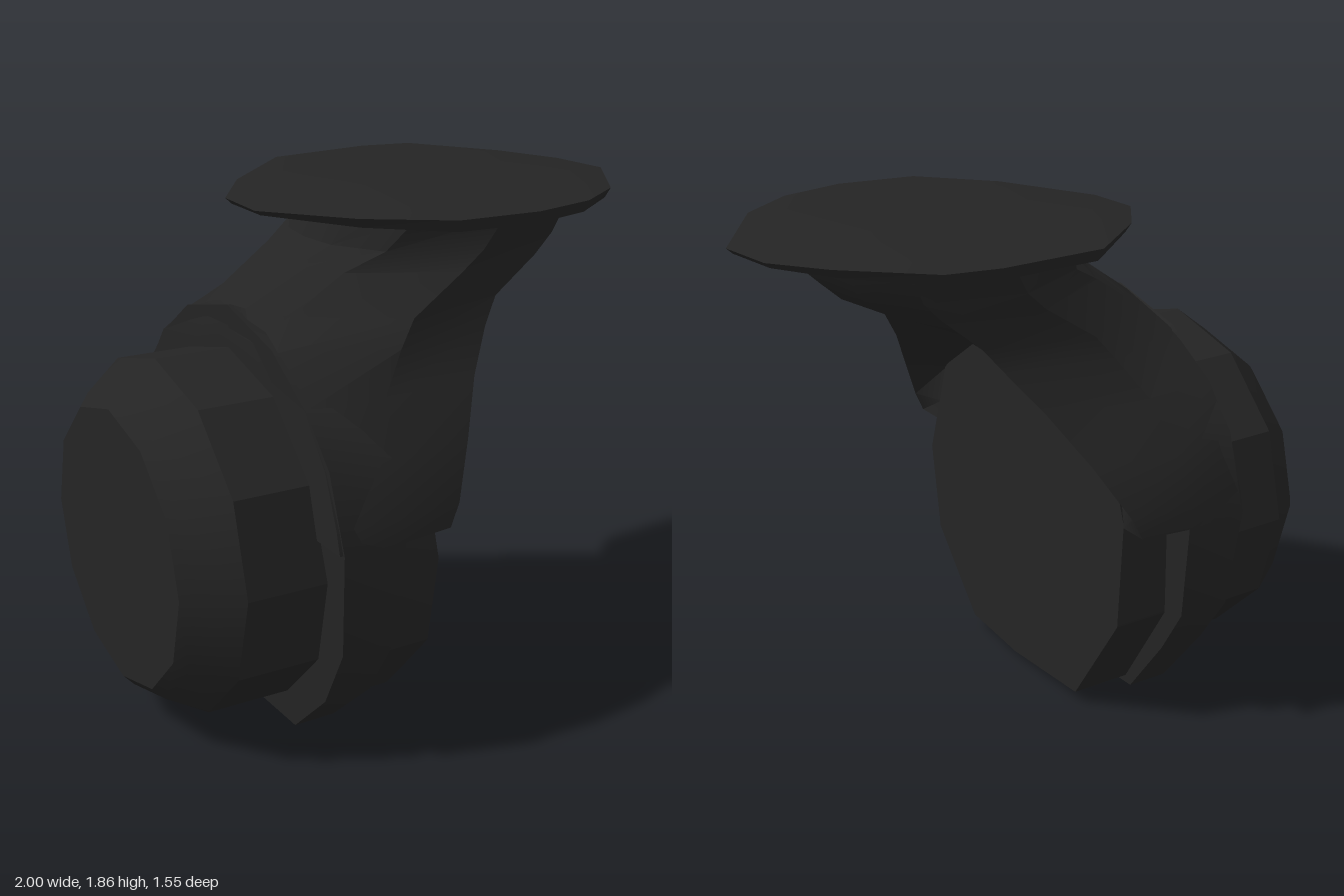
import * as THREE from 'three';
import { toCreasedNormals } from 'three/addons/utils/BufferGeometryUtils.js';

const material = new THREE.MeshStandardMaterial({ color: 0x242424, side: THREE.DoubleSide });

// Closed solid through equal-length rings of [x, y, z] points, capped at both ends
function loft(name, rings, crease = 0.5) {
  const n = rings[0].length;
  const pos = rings.flat(2);
  const index = [];
  for (let r = 0; r < rings.length - 1; r++) {
    for (let i = 0; i < n; i++) {
      const a = r * n + i, b = r * n + (i + 1) % n;
      index.push(a, b, b + n, a, b + n, a + n);
    }
  }
  [0, rings.length - 1].forEach((r, end) => {
    const centre = pos.length / 3;
    for (let k = 0; k < 3; k++) pos.push(rings[r].reduce((s, p) => s + p[k], 0) / n);
    for (let i = 0; i < n; i++) {
      const a = r * n + i, b = r * n + (i + 1) % n;
      index.push(centre, ...(end ? [a, b] : [b, a]));
    }
  });
  // Turn the faces outward by the sign of the enclosed volume
  const at = (i) => new THREE.Vector3().fromArray(pos, i * 3);
  let volume = 0;
  for (let i = 0; i < index.length; i += 3) {
    volume += at(index[i]).dot(at(index[i + 1]).cross(at(index[i + 2])));
  }
  if (volume < 0) index.reverse();
  const geometry = new THREE.BufferGeometry();
  geometry.setAttribute('position', new THREE.Float32BufferAttribute(pos, 3));
  geometry.setIndex(index);
  const mesh = new THREE.Mesh(toCreasedNormals(geometry, crease), material);
  mesh.name = name;
  return mesh;
}

// Ring of a [z, y] outline standing at x, scaled about the body axis
const standing = (outline, x, s = 1) =>
  outline.map(([z, y]) => [x, 0.72 + (y - 0.72) * s, z * s]);

// Regular ring round the x axis
function round(x, radius, cy, sides = 12) {
  return Array.from({ length: sides }, (_, i) => {
    const a = (i / sides) * Math.PI * 2;
    return [x, cy + radius * Math.cos(a), radius * Math.sin(a)];
  });
}

// Level ring at height y, mirrored from a half outline of [x, z] points
function level(y, half) {
  const back = half.slice(1, -1).reverse();
  return [...half.map(([x, z]) => [x, y, z]), ...back.map(([x, z]) => [x, y, -z])];
}

export function createModel() {
  const group = new THREE.Group();
  group.name = 'elbowFitting';

  // Chamfered barrel at the closed end
  group.add(loft('barrel', [
    round(-1, 0.51, 0.69), round(-0.96, 0.555, 0.69), round(-0.82, 0.65, 0.7),
    round(-0.5, 0.65, 0.695),
  ]));

  // Wider collar round the middle
  const collar = [
    [0.37, 0.01], [0, 0.005], [-0.4, 0.02], [-0.6, 0.28], [-0.72, 0.47], [-0.77, 0.84],
    [-0.67, 1.12], [-0.53, 1.27], [-0.32, 1.42], [0, 1.5], [0.32, 1.42], [0.55, 1.27],
    [0.69, 1.11], [0.77, 0.84], [0.735, 0.46], [0.6, 0.22],
  ];
  const collarEnd = collar.map(([z, y]) =>
    [-0.34 + 0.05 * Math.min(y / 0.83, 1), Math.min(y, 1.39), z]);
  const collarStart = collar.map(([z, y]) =>
    [-0.5 - 0.04 * Math.min(y / 1.2, 1), y, z]);
  group.add(loft('collar', [collarStart, collarEnd]));

  // Flat-faced plug at the open end
  const plug = [
    [0.35, 0.06], [0.05, 0.03], [-0.37, 0.05], [-0.62, 0.44], [-0.64, 0.85], [-0.53, 1.15],
    [-0.28, 1.27], [0, 1.39], [0.28, 1.28], [0.55, 1.13], [0.68, 0.7], [0.62, 0.36],
    [0.46, 0.18],
  ];
  group.add(loft('plug', [standing(plug, -0.4), standing(plug, -0.1)]));

  // Neck leaning forward from the body, arched underneath
  const neck = [
    [0.84, [[-0.54, 0], [-0.54, 0.4], [-0.54, 0.76], [-0.3, 0.775], [-0.1, 0.75], [-0.1, 0.64], [-0.1, 0]]],
    [0.92, [[-0.54, 0], [-0.54, 0.4], [-0.54, 0.74], [-0.3, 0.765], [-0.06, 0.74], [-0.11, 0.61], [-0.11, 0]]],
    [1.1, [[-0.54, 0], [-0.54, 0.4], [-0.54, 0.67], [-0.28, 0.7], [0.04, 0.64], [-0.11, 0.54], [-0.11, 0]]],
    [1.27, [[-0.54, 0], [-0.54, 0.3], [-0.54, 0.54], [-0.25, 0.57], [0.145, 0.52], [-0.11, 0.3], [-0.11, 0]]],
    [1.41, [[-0.54, 0], [-0.54, 0.17], [-0.53, 0.33], [-0.15, 0.51], [0.25, 0.43], [0.05, 0.22], [-0.08, 0]]],
    [1.5, [[-0.53, 0], [-0.51, 0.08], [-0.43, 0.25], [-0.08, 0.48], [0.32, 0.39], [0.3, 0.2], [0.26, 0]]],
    [1.63, [[-0.34, 0], [-0.32, 0.1], [-0.23, 0.27], [0.12, 0.47], [0.48, 0.4], [0.6, 0.22], [0.64, 0]]],
    [1.7, [[-0.23, 0], [-0.21, 0.15], [-0.1, 0.33], [0.2, 0.48], [0.55, 0.4], [0.69, 0.22], [0.72, 0]]],
    [1.81, [[-0.19, 0], [-0.17, 0.2], [-0.03, 0.4], [0.27, 0.5], [0.6, 0.42], [0.75, 0.22], [0.78, 0]]],
  ];
  group.add(loft('neck', neck.map(([y, half]) => level(y, half)), 0.6));

  // Thin flange plate on top, outline in [x, z]
  const plate = [
    [-0.46, 0.07], [-0.25, 0.4], [0, 0.62], [0.3, 0.655], [0.55, 0.6], [0.76, 0.46],
    [1, 0.11], [0.97, -0.12], [0.84, -0.33], [0.59, -0.6], [0.4, -0.64], [0, -0.62],
    [-0.3, -0.37], [-0.46, -0.15],
  ];
  const plateRing = (s, height) => plate.map(([x, z]) =>
    [0.28 + (x - 0.28) * s, height(Math.abs(z) / 0.65), z * s]);
  group.add(loft('flange', [
    plateRing(0.78, () => 1.785),
    plateRing(0.97, (t) => 1.815 - 0.005 * t),
    plateRing(1, (t) => 1.83 + 0.025 * t),
    plateRing(0.8, () => 1.862),
  ]));

  return group;
}
